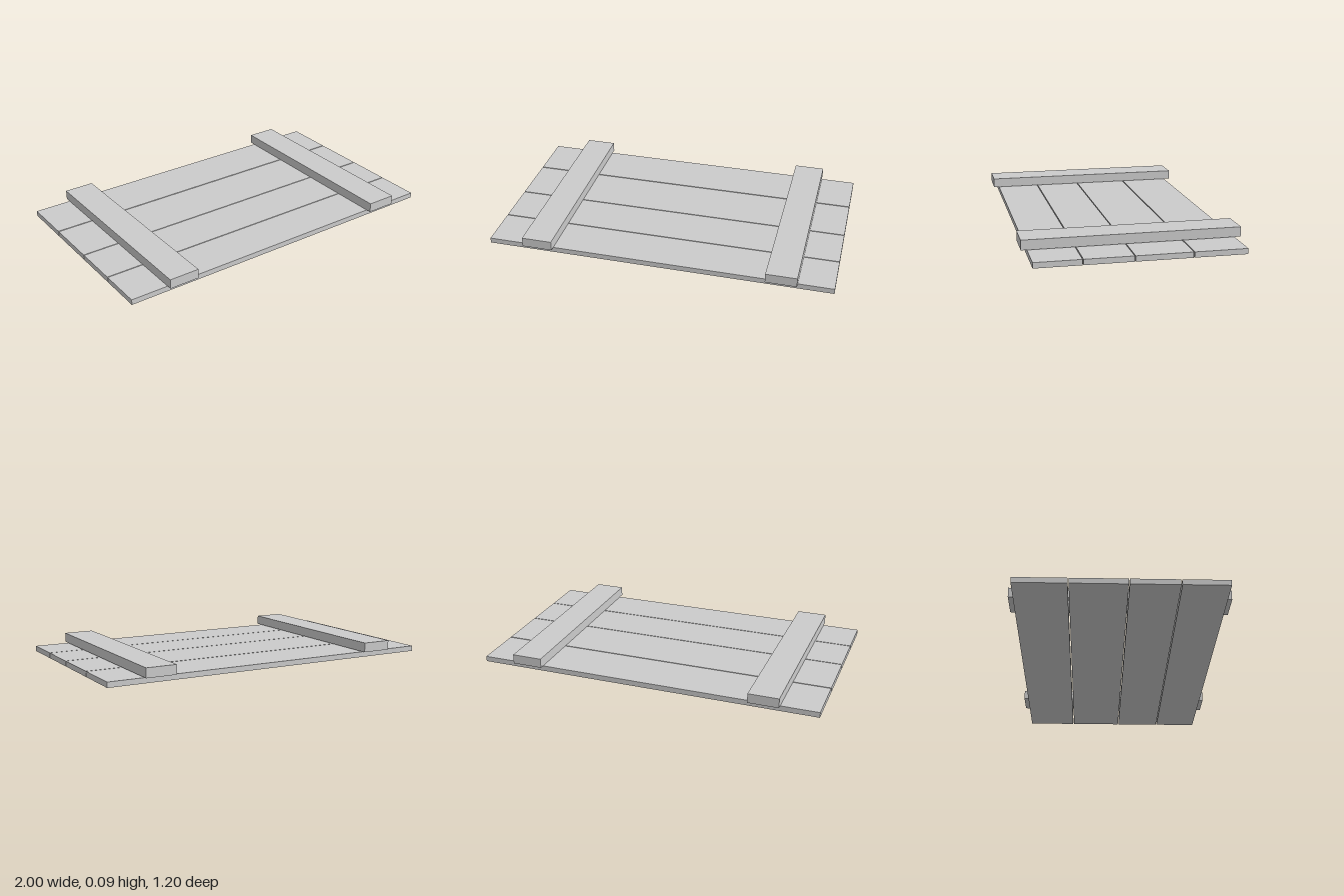
import * as THREE from 'three';

const material = new THREE.MeshStandardMaterial({ color: 0xcccccc, flatShading: true });

// Box given by its minimum and maximum on each axis
function board(name, [x0, x1], [y0, y1], [z0, z1]) {
  const mesh = new THREE.Mesh(new THREE.BoxGeometry(x1 - x0, y1 - y0, z1 - z0), material);
  mesh.position.set((x0 + x1) / 2, (y0 + y1) / 2, (z0 + z1) / 2);
  mesh.name = name;
  return mesh;
}

export function createModel() {
  const group = new THREE.Group();
  group.name = 'plankPanel';

  // Four planks of uneven width, side by side with thin gaps
  const plankSpans = [[-0.566, -0.277], [-0.271, 0.037], [0.042, 0.307], [0.312, 0.565]];
  plankSpans.forEach((z, i) => group.add(board(`plank${i + 1}`, [-1, 1], [0, 0.031], z)));

  // Two thicker battens across the planks, overhanging front and back
  group.add(board('rightBatten', [-0.785, -0.61], [0.034, 0.089], [-0.598, 0.598]));
  group.add(board('leftBatten', [0.622, 0.798], [0.034, 0.089], [-0.598, 0.598]));

  return group;
}
